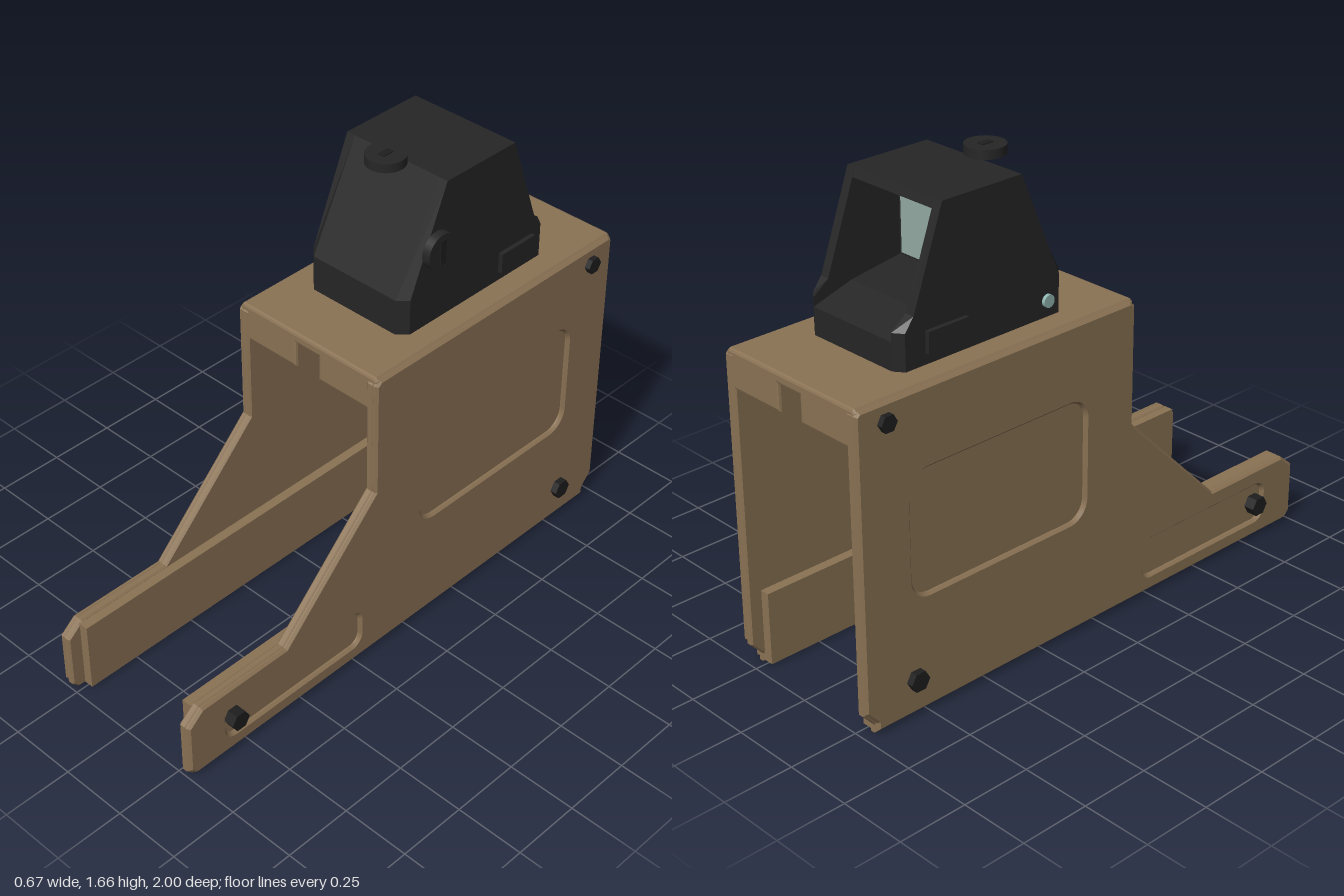
import * as THREE from 'three';

const mat = (name, color, extra = {}) => Object.assign(new THREE.MeshStandardMaterial({ color, ...extra }), { name });

export function createModel() {
  const root = new THREE.Group();
  root.name = 'sightMount';
  const tan = mat('tan', 0x8b7355);
  const black = mat('black', 0x262626);
  const dark = mat('darkSteel', 0x1e1e1e);
  const glass = mat('glass', 0x93aaa3, { side: THREE.DoubleSide });
  const teal = mat('paleTeal', 0x8fb5b0);

  const add = (name, geo, material, x = 0, y = 0, z = 0, parent = root) => {
    const m = new THREE.Mesh(geo, material);
    m.name = name;
    m.position.set(x, y, z);
    parent.add(m);
    return m;
  };
  const box = (name, material, x0, x1, y0, y1, z0, z1) =>
    add(name, new THREE.BoxGeometry(x1 - x0, y1 - y0, z1 - z0), material, (x0 + x1) / 2, (y0 + y1) / 2, (z0 + z1) / 2);

  // Extrude a [z, y] outline across x, from x0 to x1
  const sideExtrude = (pts, x0, x1, bevel = 0, holes = []) => {
    const shape = new THREE.Shape(pts.map(([z, y]) => new THREE.Vector2(-z, y)));
    shape.holes.push(...holes);
    const g = new THREE.ExtrudeGeometry(shape, {
      depth: x1 - x0 - 2 * bevel, bevelEnabled: bevel > 0, bevelThickness: bevel,
      bevelSize: bevel, bevelOffset: -bevel, bevelSegments: 1, curveSegments: 6,
    });
    return g.translate(0, 0, x0 + bevel).rotateY(Math.PI / 2);
  };
  const roundedHole = (zBack, zFront, y0, y1, r) => {
    const p = new THREE.Path(), a = -zFront, b = -zBack, h = Math.PI / 2;
    p.absarc(b - r, y0 + r, r, -h, 0);
    p.absarc(b - r, y1 - r, r, 0, h);
    p.absarc(a + r, y1 - r, r, h, 2 * h);
    p.absarc(a + r, y0 + r, r, 2 * h, 3 * h);
    p.closePath();
    return p;
  };
  const plateOutline = (y0) => [
    [0.975, y0], [1, y0 + 0.025], [1, 0.225], [0.94, 0.275], [0.57, 0.275], [0.16, 0.68], [0.16, 1.105],
    [0.14, 1.122], [-0.985, 1.122], [-1, 1.11], [-1, 0.08 + y0], [-0.955, 0.03 + y0], [-0.955, y0],
  ];

  // Side plates: inner sheet, pocketed outer sheet, guide rail and hex bolts
  for (const s of [1, -1]) {
    const span = (a, b) => (s > 0 ? [a, b] : [-b, -a]);
    const side = s > 0 ? 'left' : 'right';
    add(side + 'InnerPlate', sideExtrude(plateOutline(0), ...span(0.265, 0.294), 0.006), tan);
    add(side + 'OuterPlate', sideExtrude(plateOutline(0.012), ...span(0.286, 0.31), 0.009,
      [roundedHole(-0.8, -0.06, 0.42, 0.85, 0.07), roundedHole(0.225, 0.84, 0.07, 0.21, 0.04)]), tan);
    box(side + 'GuideRail', tan, ...span(0.23, 0.268), 0.004, 0.268, -0.95, 0.95);
    for (const [z, y, r, x1] of [[-0.89, 1.06, 0.031, 0.33], [0.8, 0.137, 0.037, 0.335], [-0.8, 0.137, 0.037, 0.335]]) {
      const g = new THREE.CylinderGeometry(r, r, x1 - 0.285, 6).toNonIndexed();
      g.computeVertexNormals();
      add(side + 'Bolt', g.rotateZ(Math.PI / 2), dark, s * (x1 + 0.285) / 2, y, z);
    }
  }

  // Top bridge with a channel running along its underside
  const bridge = new THREE.Shape();
  [[-0.28, 0.996], [-0.05, 0.996], [-0.05, 1.09], [0.05, 1.09], [0.05, 0.996], [0.28, 0.996], [0.303, 1.03],
    [0.303, 1.118], [0.292, 1.13], [-0.292, 1.13], [-0.303, 1.118], [-0.303, 1.03]]
    .forEach(([x, y], i) => (i ? bridge.lineTo(x, y) : bridge.moveTo(x, y)));
  add('topBridge', new THREE.ExtrudeGeometry(bridge, {
    depth: 1.133, bevelThickness: 0.01, bevelSize: 0.01, bevelOffset: -0.01, bevelSegments: 2,
  }), tan, 0, 0, -0.988);

  // Sight housing: two cheeks with chamfered lower corners around a hollowed core
  const cheekOutline = [[-0.06, 1.125], [-0.06, 1.26], [-0.25, 1.63], [-0.57, 1.63], [-0.69, 1.3], [-0.75, 1.255], [-0.75, 1.125]];
  for (const s of [1, -1]) {
    const g = s > 0 ? sideExtrude(cheekOutline, 0.18, 0.214) : sideExtrude(cheekOutline, -0.214, -0.18);
    const p = g.attributes.position;
    for (let i = 0; i < p.count; i++) {
      if (Math.abs(p.getX(i)) > 0.2 && p.getY(i) < 1.28) p.setZ(i, p.getZ(i) + (p.getZ(i) > -0.4 ? -0.032 : 0.025));
    }
    g.computeVertexNormals();
    add('housingCheek', g, black);
  }
  add('housingCore', sideExtrude([
    [-0.06, 1.125], [-0.06, 1.26], [-0.25, 1.63], [-0.57, 1.63], [-0.58, 1.6], [-0.4, 1.59],
    [-0.4, 1.3], [-0.6, 1.27], [-0.75, 1.225], [-0.75, 1.125],
  ], -0.18, 0.18), black);
  box('lens', glass, -0.165, 0.165, 1.31, 1.58, -0.407, -0.399);

  // Adjustment dials with a slot plate on each
  const dial = (name, r, h) => {
    const d = new THREE.Group();
    d.name = name;
    add('dialDisc', new THREE.CylinderGeometry(r, r, h, 32), black, 0, 0, 0, d);
    add('dialSlot', new THREE.BoxGeometry(0.025, 0.004, 0.09), dark, 0, h / 2 + 0.001, 0, d);
    root.add(d);
    return d;
  };
  const top = dial('topDial', 0.068, 0.032);
  top.position.set(0, 1.646, -0.2);
  top.scale.z = 1;
  top.children[1].scale.z = 0.5;
  const sideDial = dial('sideDial', 0.064, 0.03);
  sideDial.rotation.set(Math.PI / 2, 0, -Math.PI / 2);
  sideDial.position.set(0.24, 1.415, -0.193);

  // Side covers and the small indicator
  box('leftCover', black, 0.228, 0.244, 1.178, 1.252, -0.662, -0.5);
  box('rightCover', black, -0.248, -0.232, 1.178, 1.252, -0.662, -0.5);
  add('indicator', new THREE.CylinderGeometry(0.022, 0.022, 0.012, 16).rotateZ(Math.PI / 2), teal, -0.227, 1.19, -0.15);

  return root;
}
